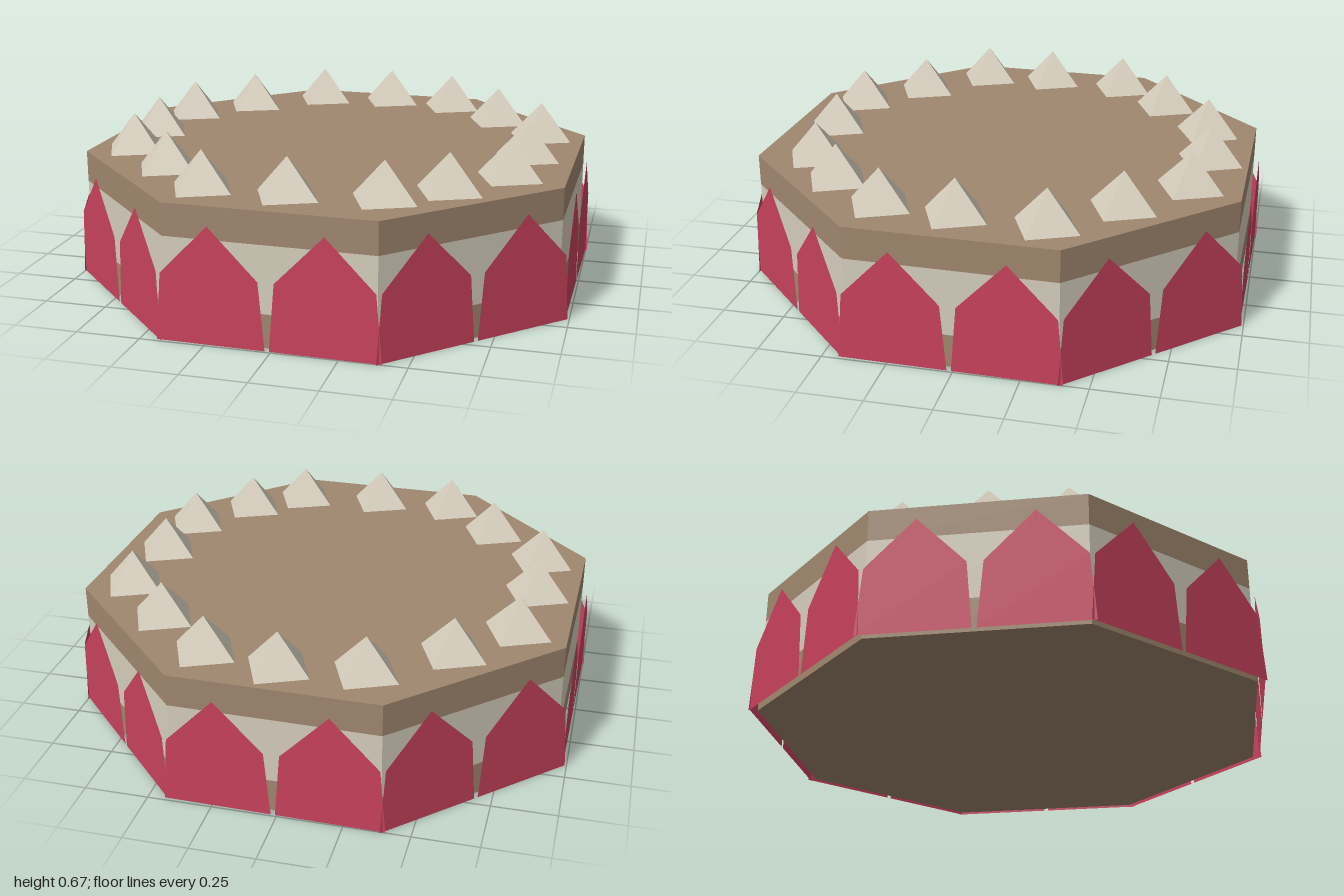
import * as THREE from 'three';

const deg = THREE.MathUtils.degToRad;
const paint = (color, side = THREE.FrontSide) =>
  new THREE.MeshStandardMaterial({ color, side, flatShading: true });

const SIDES = 8, RADIUS = 1.043, HEIGHT = 0.515;
const FACE_TURN = -0.9; // slight twist of the whole octagon, in degrees

function createModel() {
  const model = new THREE.Group();
  const brown = paint(0xa0876f);
  const cream = paint(0xd6cebd);
  const red = paint(0xc8425c, THREE.DoubleSide);

  const add = (parent, name, geometry, material) => {
    const mesh = new THREE.Mesh(geometry, material);
    mesh.name = name;
    parent.add(mesh);
    return mesh;
  };

  // Octagonal body: three flush bands closed by a top and a bottom
  const body = new THREE.Group();
  body.name = 'body';
  body.rotation.y = deg(FACE_TURN + 22.5);
  model.add(body);
  const bands = [
    ['lowerBand', 0, 0.13, brown],
    ['middleBand', 0.13, 0.39, cream],
    ['upperBand', 0.39, HEIGHT, brown],
  ];
  for (const [name, y0, y1, material] of bands) {
    const geometry = new THREE.CylinderGeometry(RADIUS, RADIUS, y1 - y0, SIDES, 1, true);
    add(body, name, geometry, material).position.y = (y0 + y1) / 2;
  }
  const cap = new THREE.CircleGeometry(RADIUS, SIDES);
  const top = add(body, 'top', cap, brown);
  top.rotation.x = -Math.PI / 2;
  top.position.y = HEIGHT;
  add(body, 'bottom', cap, brown).rotation.x = Math.PI / 2;

  // Pointed petals: two thin upright sheets just outside each face
  const outline = [[-0.207, 0], [0.207, 0], [0.185, 0.26], [0, 0.45], [-0.185, 0.26]];
  const petalShape = new THREE.Shape(outline.map(([x, y]) => new THREE.Vector2(x, y)));
  const petalGeometry = new THREE.ShapeGeometry(petalShape);
  for (let i = 0; i < SIDES; i++) {
    const pair = new THREE.Group();
    pair.name = 'petalPair';
    pair.rotation.y = deg(FACE_TURN + 45 * i);
    model.add(pair);
    for (const side of [-1, 1]) {
      add(pair, 'petal', petalGeometry, red).position.set(side * 0.215, 0, 0.992);
    }
  }

  // Uneven ring of square pyramids on top, all turned the same way
  const spots = [
    [-0.28, -0.77], [0.035, -0.81], [0.33, -0.76], [0.575, -0.54],
    [0.79, -0.3], [0.775, 0.04], [0.745, 0.335], [0.555, 0.57],
    [0.35, 0.73], [0, 0.77], [-0.33, 0.76], [-0.555, 0.54],
    [-0.79, 0.3], [-0.805, 0], [-0.77, -0.335], [-0.56, -0.56],
  ];
  const peakHeight = 0.15;
  const peakGeometry = new THREE.ConeGeometry(0.14, peakHeight, 4);
  for (const [x, z] of spots) {
    const peak = add(model, 'creamPeak', peakGeometry, cream);
    peak.position.set(x, HEIGHT + peakHeight / 2, z);
    peak.rotation.y = deg(68.5);
  }

  return model;
}

export { createModel };
